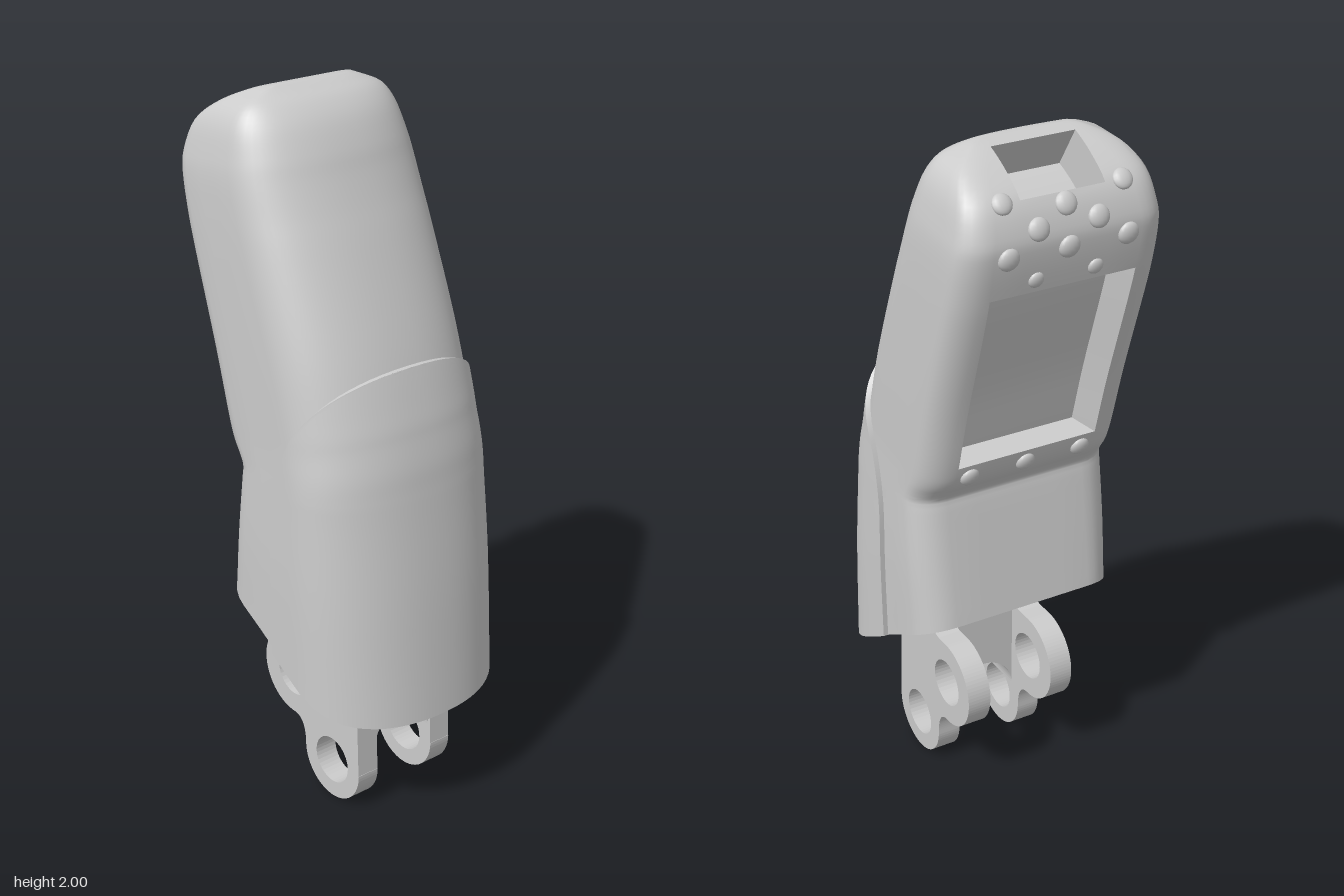
import * as THREE from 'three';
import { toCreasedNormals } from 'three/addons/utils/BufferGeometryUtils.js';

const grey = new THREE.MeshStandardMaterial({ color: 0xcccccc, side: THREE.DoubleSide });
const lerp = THREE.MathUtils.lerp;

// Body stations, bottom to top: panel-side x, y, back-side x, y, half depth
const KEYS = [
  [-0.19, 0.62, 0.39, 0.34, 0.305],
  [-0.165, 0.8, 0.358, 0.68, 0.308],
  [-0.142, 0.96, 0.325, 0.93, 0.305],
  [-0.137, 0.995, 0.315, 1.0, 0.304],
  [-0.15, 1.02, 0.306, 1.06, 0.303],
  [-0.178, 1.06, 0.29, 1.13, 0.302],
  [-0.2, 1.12, 0.272, 1.2, 0.302],
  [-0.25, 1.3, 0.215, 1.37, 0.302],
  [-0.33, 1.55, 0.115, 1.61, 0.3],
  [-0.362, 1.66, 0.07, 1.71, 0.298],
  [-0.383, 1.76, 0.035, 1.79, 0.294],
  [-0.383, 1.82, 0.01, 1.85, 0.285],
  [-0.35, 1.9, -0.03, 1.92, 0.265],
  [-0.28, 1.955, -0.075, 1.965, 0.23],
  [-0.21, 1.99, -0.12, 1.988, 0.17],
  [-0.17, 2.0, -0.15, 2.0, 0.13],
];
const SUB = 4;
const ROWS = (KEYS.length - 1) * SUB;
const path = (f) => new THREE.CatmullRomCurve3(KEYS.map(f), false, 'catmullrom');
const leftPath = path((k) => new THREE.Vector3(k[0], k[1], k[4]));
const rightPath = path((k) => new THREE.Vector3(k[2], k[3], 0));

// Rounded section: flat panel, small front corner, straight flank, rounded back
const BEND = 0.16, FLANK = 0.6, POWER = 2.2;
const flatHalf = (w) => Math.min(0.21, 0.72 * w);
function halfDepth(u, w) {
  if (u < BEND) return lerp(flatHalf(w), w, Math.sqrt(1 - (1 - u / BEND) ** 2));
  if (u < FLANK) return w;
  return w * Math.max(0, 1 - ((u - FLANK) / (1 - FLANK)) ** POWER) ** (1 / POWER);
}

function surfacePoint(t, u, side, off = 0, z) {
  const l = leftPath.getPoint(t), r = rightPath.getPoint(t), w = l.z;
  const sag = 0.035 * Math.max(0, 1 - t * 6) * Math.sin(Math.PI * u * u);
  const depth = z ?? halfDepth(u, w) * (w + off) / w;
  const x = lerp(l.x, r.x, u) + off * Math.max(0, (u - FLANK) / (1 - FLANK));
  return new THREE.Vector3(x, lerp(l.y, r.y, u) - sag, side * depth);
}

// Skin a grid of points with quads, leaving out skipped cells
function skin(rows, closed = false, skip = () => false, crease = 0.6) {
  const pos = [], n = rows[0].length;
  for (let j = 0; j < rows.length - 1; j++) {
    for (let i = 0; i < (closed ? n : n - 1); i++) {
      if (skip(i, j)) continue;
      const k = (i + 1) % n;
      const a = rows[j][i], b = rows[j][k], c = rows[j + 1][k], d = rows[j + 1][i];
      for (const p of [a, b, c, a, c, d]) pos.push(p.x, p.y, p.z);
    }
  }
  const g = new THREE.BufferGeometry();
  g.setAttribute('position', new THREE.Float32BufferAttribute(pos, 3));
  return toCreasedNormals(g, crease);
}

function add(parent, name, geometry) {
  const mesh = new THREE.Mesh(geometry, grey);
  mesh.name = name;
  parent.add(mesh);
  return mesh;
}

const SCREEN = [6 * SUB, 9 * SUB], WINDOW = [12 * SUB, 14 * SUB];

function bodyGeometry() {
  const us = [];
  for (let i = 1; i <= 6; i++) us.push(BEND * (1 - Math.cos(i / 6 * Math.PI / 2)));
  us.push(0.3, 0.45, FLANK);
  for (let i = 1; i < 14; i++) us.push(FLANK + (1 - FLANK) * Math.sin(i / 14 * Math.PI / 2) ** (2 / POWER));
  const rows = [];
  for (let j = 0; j <= ROWS; j++) {
    const t = j / ROWS, zf = flatHalf(leftPath.getPoint(t).z);
    const half = (s) => [
      surfacePoint(t, 0, s, 0, Math.min(0.12, zf)), surfacePoint(t, 0, s, 0, zf),
      ...us.map((u) => surfacePoint(t, u, s)),
    ];
    rows.push([surfacePoint(t, 0, 1, 0, 0), ...half(1), surfacePoint(t, 1, 1, 0, 0), ...half(-1).reverse()]);
  }
  // Close both ends with a collapsed ring
  const collapse = (row) => {
    const c = row.reduce((s, p) => s.add(p), new THREE.Vector3()).divideScalar(row.length);
    return row.map(() => c);
  };
  rows.unshift(collapse(rows[0]));
  rows.push(collapse(rows[rows.length - 1]));
  const n = rows[0].length;
  const within = (j, span) => j - 1 >= span[0] && j - 1 < span[1];
  return skin(rows, true, (i, j) => {
    const column = Math.min(i, n - 1 - i);
    return (within(j, SCREEN) && column < 2) || (within(j, WINDOW) && column < 1);
  });
}

// Sunken tray behind an opening in the panel
function recessGeometry([j0, j1], z, depth, taper) {
  const a = leftPath.getPoint(j0 / ROWS), b = leftPath.getPoint(j1 / ROWS);
  const inward = new THREE.Vector3(b.y - a.y, a.x - b.x, 0).normalize();
  const row = (j, d) => [[-z, 0], [-z * taper, d], [z * taper, d], [z, 0]].map(([zz, dd]) => {
    const p = surfacePoint(j / ROWS, 0, 1, 0, 0).addScaledVector(inward, dd);
    return p.setZ(zz);
  });
  const rows = [row(j0, 0)];
  for (let j = j0; j <= j1; j++) rows.push(row(j, depth));
  rows.push(row(j1, 0));
  return skin(rows, false, undefined, 0.3);
}

// Raised rear shell, bounded by a seam that climbs toward the back
const seamX = (y) => 0.05 + 0.86 * Math.max(0, y - 0.85) ** 2;
function bisect(f, lo, hi) {
  for (let i = 0; i < 40; i++) {
    const mid = (lo + hi) / 2;
    if (f(mid) > 0) hi = mid; else lo = mid;
  }
  return lo;
}
function shellGeometry() {
  const off = 0.014, N = 40, M = 18, rows = [];
  const beyond = (t, u) => {
    const p = surfacePoint(t, u, 1, 0, 0);
    return p.x - seamX(p.y);
  };
  const tEnd = bisect((t) => -beyond(t, 1), 0.2, 0.75);
  for (let j = -1; j <= N; j++) {
    const t = tEnd * Math.sin(Math.max(j, 0) / N * Math.PI / 2);
    const start = bisect((u) => beyond(t, u), 0, 1), lift = j < 0 ? 0 : off;
    const half = (s) => {
      const pts = [surfacePoint(t, start, s, -0.004)];
      for (let i = 0; i < M; i++) {
        pts.push(surfacePoint(t, lerp(start, 1, Math.sin(i / M * Math.PI / 2)), s, lift));
      }
      return pts;
    };
    rows.push([...half(1), surfacePoint(t, 1, 1, lift, 0), ...half(-1).reverse()]);
  }
  return skin(rows);
}

// Domed button seated on the panel at a given height
function addButton(parent, y, z, r) {
  const t = bisect((v) => leftPath.getPoint(v).y - y, 0.2, 0.98);
  const p = leftPath.getPoint(t), d = leftPath.getTangent(t).setZ(0).normalize();
  const b = add(parent, 'button', new THREE.SphereGeometry(r, 16, 10));
  b.position.set(p.x, p.y, z);
  b.scale.set(0.5, 1, 1);
  b.rotation.z = Math.atan2(-d.x, d.y);
}

function lugGeometry() {
  const s = new THREE.Shape();
  s.moveTo(0.225, 0.56);
  s.lineTo(0.235, 0.32);
  s.lineTo(0.242, 0.12);
  s.absarc(0.125, 0.12, 0.118, 0, -Math.PI, true);
  s.quadraticCurveTo(0.005, 0.2, -0.045, 0.2);
  s.absarc(-0.045, 0.33, 0.13, -Math.PI / 2, Math.PI / 2, true);
  s.lineTo(0, 0.46);
  s.quadraticCurveTo(0.04, 0.465, 0.045, 0.51);
  s.lineTo(0.045, 0.56);
  for (const [x, y] of [[0.125, 0.12], [-0.045, 0.33]]) {
    s.holes.push(new THREE.Path().absarc(x, y, 0.07, 0, Math.PI * 2));
  }
  return new THREE.ExtrudeGeometry(s, { depth: 0.07, bevelEnabled: false, curveSegments: 20 });
}

function bridgeGeometry() {
  const s = new THREE.Shape();
  s.moveTo(-0.1, 0.18);
  s.absarc(0, 0.18, 0.1, Math.PI, 0, true);
  s.lineTo(0.1, 0.54);
  s.lineTo(-0.1, 0.54);
  return new THREE.ExtrudeGeometry(s, { depth: 0.185, bevelEnabled: false, curveSegments: 20 })
    .rotateY(Math.PI / 2).translate(0.045, 0, 0);
}

export function createModel() {
  const model = new THREE.Group();
  model.name = 'handset';
  add(model, 'body', bodyGeometry());
  add(model, 'screenRecess', recessGeometry(SCREEN, 0.21, 0.07, 0.85));
  add(model, 'windowRecess', recessGeometry(WINDOW, 0.12, 0.13, 1));
  add(model, 'rearShell', shellGeometry());

  // Button rows: height, z positions, radius
  const buttons = new THREE.Group();
  buttons.name = 'buttons';
  model.add(buttons);
  for (const [y, zs, r] of [
    [1.9, [-0.17, 0.17], 0.028], [1.875, [0], 0.03], [1.83, [-0.085, 0.085], 0.03],
    [1.77, [-0.17, 0, 0.17], 0.03], [1.695, [-0.085, 0.085], 0.022],
    [1.08, [-0.17, 0, 0.17], 0.028],
  ]) zs.forEach((z) => addButton(buttons, y, z, r));

  // Forked hinge bracket
  const bracket = new THREE.Group();
  bracket.name = 'hingeBracket';
  model.add(bracket);
  for (const z of [-0.17, 0.1]) add(bracket, 'lug', lugGeometry()).position.z = z;
  add(bracket, 'bridge', bridgeGeometry());
  return model;
}
